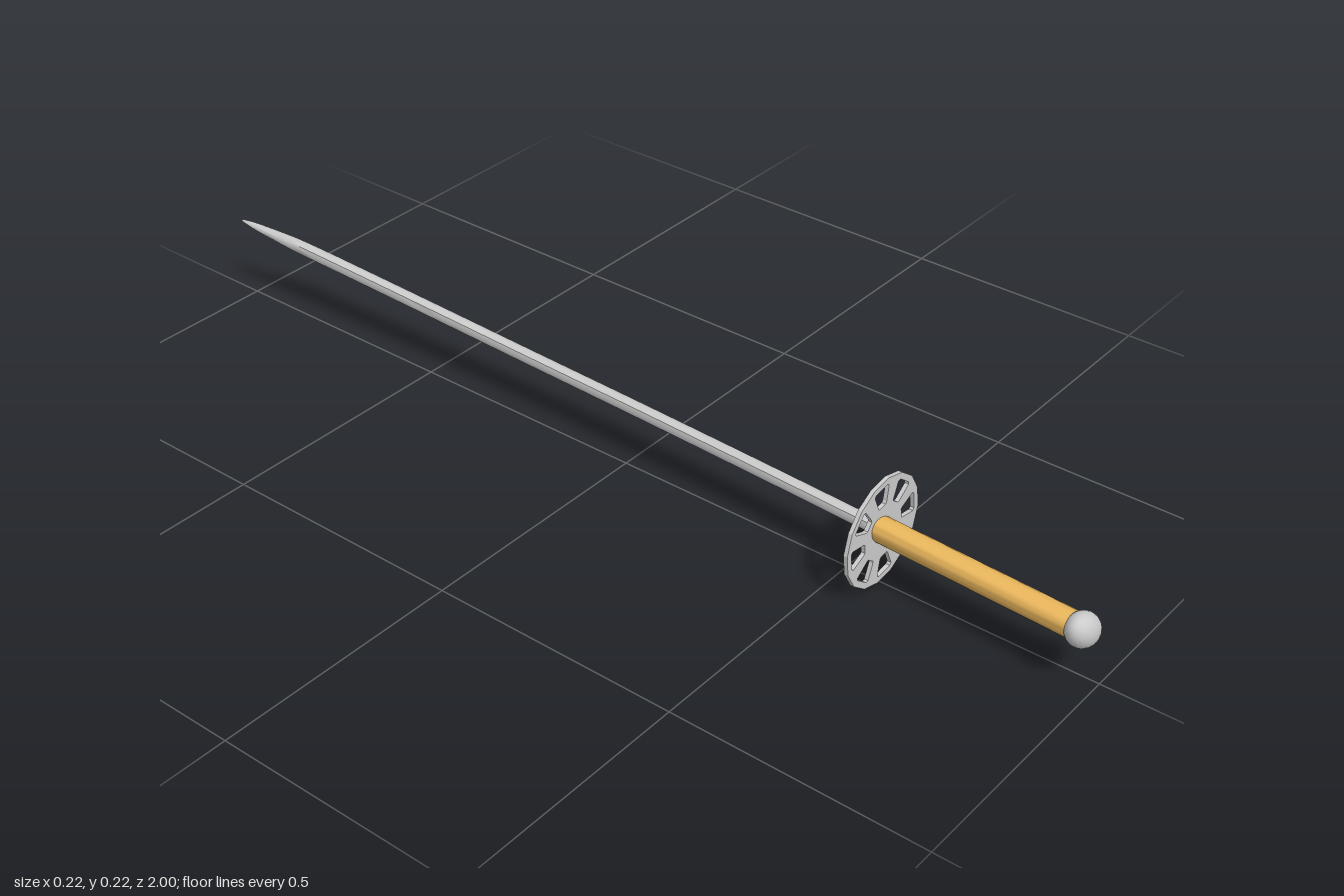
import * as THREE from 'three';
import { toCreasedNormals } from 'three/addons/utils/BufferGeometryUtils.js';

const TILT = -0.66; // roll of the blade's wide axis around z
const C = Math.cos(TILT), S = Math.sin(TILT);

const grey = new THREE.MeshStandardMaterial({ color: 0xcccccc });
const gold = new THREE.MeshStandardMaterial({ color: 0xedb95e });

// Skin a closed solid over rings of [u, v] points; rings run from +z to -z.
function loft(rings, crease) {
  const n = rings[0].points.length;
  const positions = [], index = [];
  for (const { center, points } of rings) {
    for (const [u, v] of points) {
      positions.push(center.x + u * C - v * S, center.y + u * S + v * C, center.z);
    }
  }
  for (let i = 0; i < rings.length - 1; i++) {
    for (let j = 0; j < n; j++) {
      const a = i * n + j, b = i * n + (j + 1) % n;
      index.push(a, a + n, b, b, a + n, b + n);
    }
  }
  const last = (rings.length - 1) * n;
  for (let j = 1; j < n - 1; j++) {
    index.push(0, j, j + 1, last, last + j + 1, last + j);
  }
  const geometry = new THREE.BufferGeometry();
  geometry.setAttribute('position', new THREE.Float32BufferAttribute(positions, 3));
  geometry.setIndex(index);
  return toCreasedNormals(geometry, crease);
}

// Curved blade: sharp edge, rounded spine, slanted point
function bladeGeometry() {
  const path = new THREE.CatmullRomCurve3([
    [-0.003, 0.114, 0.57], [0.012, 0.112, 0.3], [0.024, 0.112, 0.02],
    [0.028, 0.117, -0.25], [0.025, 0.128, -0.5], [0.014, 0.147, -0.82],
    [0.006, 0.157, -1],
  ].map(p => new THREE.Vector3(...p)));
  const spine = -0.034;
  const half = [[0.037, 0], [0.018, 0.008], [0, 0.0125], [-0.02, 0.014], [-0.03, 0.009]];
  const section = [...half, [spine, 0], ...half.slice(1).reverse().map(([u, v]) => [u, -v])];
  const rings = [];
  const steps = 40;
  for (let i = 0; i <= steps; i++) {
    const center = path.getPoint(i / steps);
    const z = center.z;
    let width = 1;
    if (z < -0.86) width = THREE.MathUtils.mapLinear(z, -0.86, -1, 0.92, 0.02);
    else if (z < -0.8) width = THREE.MathUtils.mapLinear(z, -0.8, -0.86, 1, 0.92);
    const thick = Math.sqrt(width);
    rings.push({
      center,
      points: section.map(([u, v]) => [spine + (u - spine) * width, v * thick]),
    });
  }
  return loft(rings, 0.8);
}

// Sixteen-sided guard with eight wedge windows
function guardGeometry() {
  const offset = 0.14, thickness = 0.008;
  const polar = (r, a) => new THREE.Vector2(r * Math.cos(a), r * Math.sin(a));
  const outline = [];
  for (let i = 0; i < 16; i++) outline.push(polar(0.108, offset + (i + 0.5) * Math.PI / 8));
  const shape = new THREE.Shape(outline);
  const windowCorners = [
    [0.059, -0.012], [0.09, -0.021], [0.094, -0.017], [0.094, 0.017],
    [0.09, 0.021], [0.059, 0.012], [0.055, 0.009], [0.055, -0.009],
  ];
  for (let i = 0; i < 8; i++) {
    const angle = offset + i * Math.PI / 4;
    shape.holes.push(new THREE.Path(windowCorners.map(([x, y]) =>
      new THREE.Vector2(x, y).rotateAround(new THREE.Vector2(), angle))));
  }
  const geometry = new THREE.ExtrudeGeometry(shape, { depth: thickness, bevelEnabled: false });
  return geometry.translate(0, 0, -thickness / 2);
}

// Oval grip leaning slightly off the z axis
function handleGeometry(front, back) {
  const oval = [];
  for (let i = 0; i < 24; i++) {
    const a = i * Math.PI / 12;
    oval.push([0.0375 * Math.cos(a), 0.0245 * Math.sin(a)]);
  }
  return loft([{ center: front, points: oval }, { center: back, points: oval }], 0.8);
}

export function createModel() {
  const group = new THREE.Group();
  const add = (name, geometry, material) => {
    const mesh = new THREE.Mesh(geometry, material);
    mesh.name = name;
    group.add(mesh);
    return mesh;
  };

  add('blade', bladeGeometry(), grey);

  const guard = add('guard', guardGeometry(), grey);
  guard.position.set(0, 0.108, 0.564);

  const gripEnd = new THREE.Vector3(-0.031, 0.119, 0.972);
  add('handle', handleGeometry(gripEnd, new THREE.Vector3(-0.003, 0.113, 0.564)), gold);

  // Flattened oval cap
  const pommel = add('pommel', new THREE.SphereGeometry(1, 24, 14).rotateX(Math.PI / 2), grey);
  pommel.scale.set(0.047, 0.032, 0.027);
  pommel.rotation.z = TILT;
  pommel.position.copy(gripEnd);

  return group;
}
